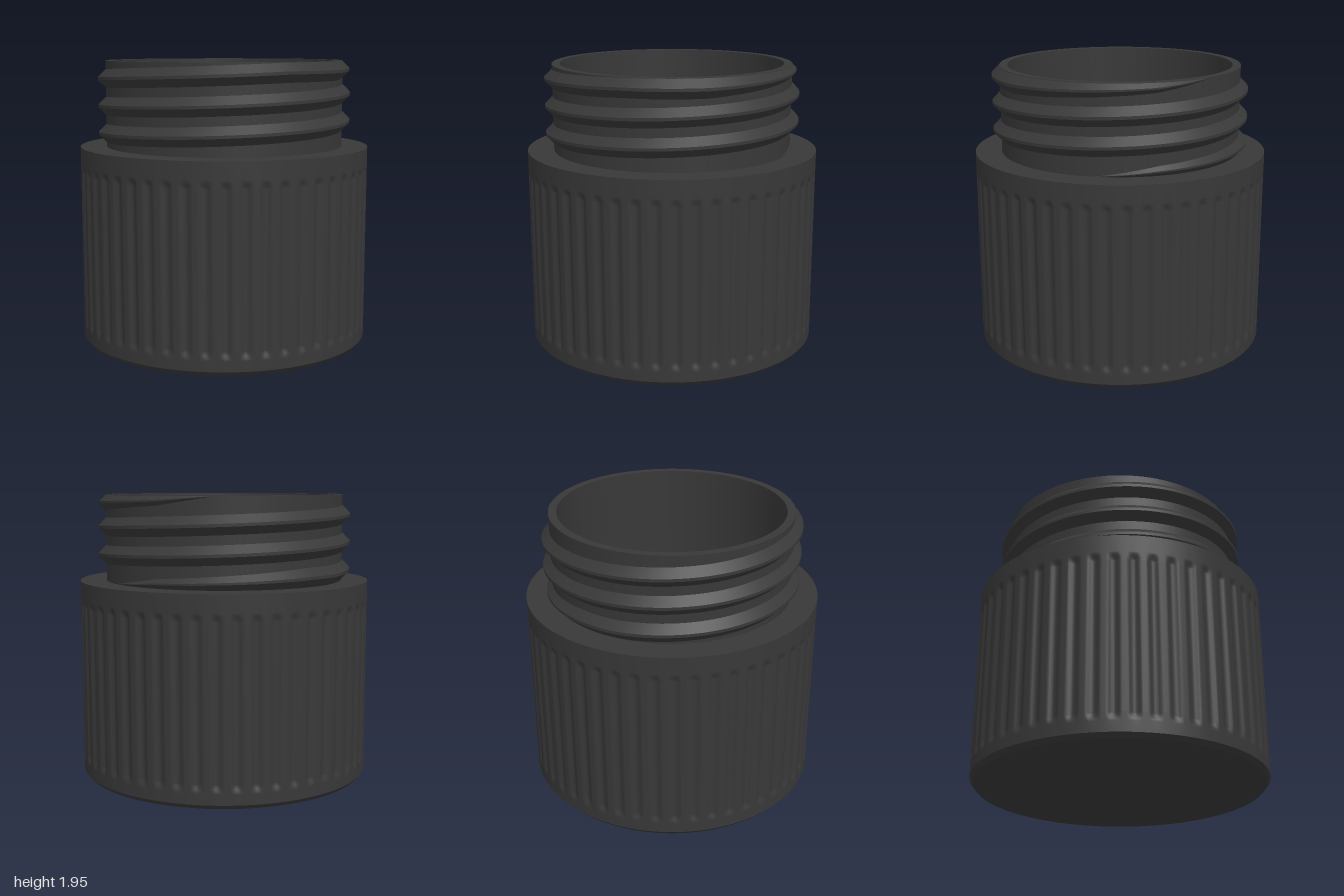
import * as THREE from 'three';
import { mergeGeometries, mergeVertices } from 'three/addons/utils/BufferGeometryUtils.js';

const SHOULDER = 1.357, TOP = 1.945, NECK = 0.82, BORE = 0.765;
const { clamp, smoothstep } = THREE.MathUtils;

// Turned surface with a hard edge at every profile point
function turned(points, segments = 128) {
  const bands = [];
  for (let i = 0; i < points.length - 1; i++) {
    const pair = [points[i], points[i + 1]].map(([r, y]) => new THREE.Vector2(r, y));
    bands.push(new THREE.LatheGeometry(pair, segments));
  }
  return mergeGeometries(bands);
}

// Side wall with shallow vertical grooves that fade out at both ends
function grooveWall() {
  const count = 50, depth = 0.018;
  const rows = [0.03, 0.1, 0.115, 0.13, 0.145, 0.16, 1.18, 1.195, 1.21, 1.225, 1.24, SHOULDER];
  const geo = new THREE.LatheGeometry(rows.map((y) => new THREE.Vector2(1, y)), count * 10);
  const pos = geo.attributes.position;
  for (let i = 0; i < pos.count; i++) {
    const x = pos.getX(i), y = pos.getY(i), z = pos.getZ(i);
    const wave = Math.max(0, 0.25 + 0.75 * Math.cos(count * Math.atan2(x, z)));
    const fade = smoothstep(y, 0.1, 0.16) * (1 - smoothstep(y, 1.18, 1.24));
    const r = 1 - depth * wave * fade;
    pos.setXYZ(i, x * r, y, z * r);
  }
  geo.deleteAttribute('normal');
  geo.deleteAttribute('uv');
  const welded = mergeVertices(geo, 1e-4);
  welded.computeVertexNormals();
  return welded;
}

// Helical thread: three turns, tapering at each end; one strip per flank
function threadGeometry() {
  const pitch = 0.187, turns = 3, runout = 0.08, steps = 380;
  const profile = [[0, -0.064], [0.054, -0.01], [0.054, 0.01], [0, 0.064]];
  const sections = [];
  for (let i = 0; i <= steps; i++) {
    const t = -runout + (i / steps) * (turns + 2 * runout);
    const end = Math.min(t, turns - t);
    const s = end < 0 ? 0.5 * (1 + end / runout) : Math.min(1, 0.5 + end * 2.5);
    const y = clamp(1.375 + pitch * t, SHOULDER + 0.064 * s, TOP - 0.002 - 0.064 * s);
    const a = Math.PI + t * Math.PI * 2;
    sections.push(profile.map(([dr, dy]) => {
      const r = NECK - 0.001 + dr * s;
      return [r * Math.sin(a), y + dy * s, r * Math.cos(a)];
    }));
  }
  const strips = [];
  for (let k = 0; k < profile.length - 1; k++) {
    const verts = [], index = [];
    sections.forEach((sec, i) => {
      verts.push(...sec[k], ...sec[k + 1]);
      if (i < steps) {
        const n = i * 2;
        index.push(n, n + 2, n + 3, n, n + 3, n + 1);
      }
    });
    const geo = new THREE.BufferGeometry();
    geo.setAttribute('position', new THREE.Float32BufferAttribute(verts, 3));
    geo.setIndex(index);
    geo.computeVertexNormals();
    strips.push(geo);
  }
  return mergeGeometries(strips);
}

export function createModel() {
  const plastic = new THREE.MeshStandardMaterial({ color: 0x383838 });
  plastic.name = 'charcoal plastic';
  const group = new THREE.Group();
  group.name = 'threadedJar';
  const add = (name, geo) => {
    const mesh = new THREE.Mesh(geo, plastic);
    mesh.name = name;
    group.add(mesh);
  };

  // Base with chamfered foot
  add('base', turned([[0, 0], [0.975, 0], [1, 0.03]]));
  add('groovedBody', grooveWall());
  // Flat shoulder, neck and rim
  add('shoulder', turned([[1, SHOULDER], [NECK, SHOULDER]]));
  add('neck', turned([[NECK, SHOULDER], [NECK, TOP], [BORE, TOP]]));
  add('screwThread', threadGeometry());
  // Hollow inside with a chamfer around the floor
  add('interior', turned([[BORE, TOP], [BORE, 0.085], [0.74, 0.06], [0, 0.06]]));
  return group;
}
